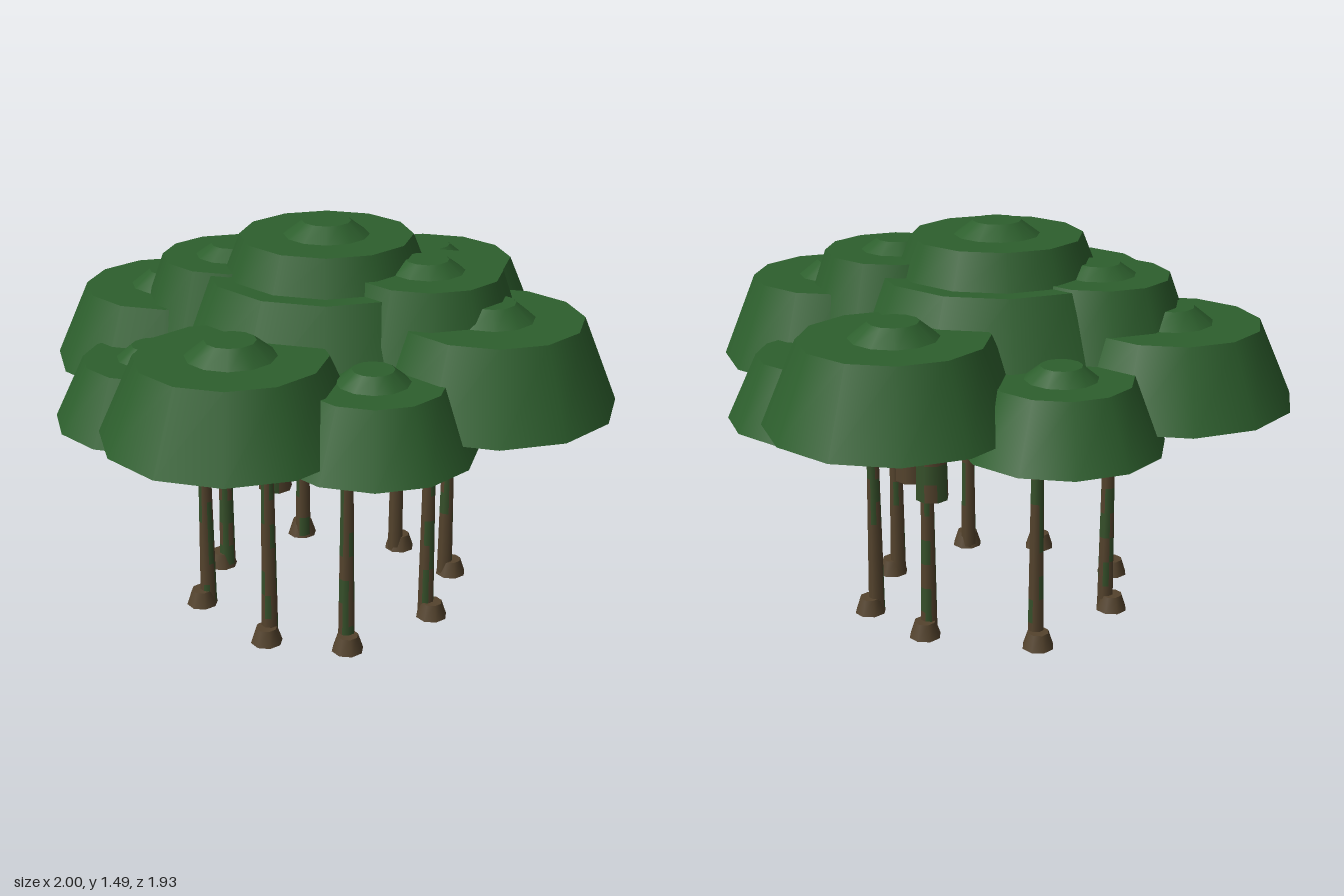
import * as THREE from 'three';

const SIDES = 12;

const mat = (name, color) => {
  const m = new THREE.MeshStandardMaterial({ color });
  m.name = name;
  return m;
};

export function createModel() {
  const root = new THREE.Group();
  root.name = 'mushroomTree';
  const leaf = mat('leaf green', 0x2d5f2d);
  const bark = mat('bark brown', 0x54432d);
  const moss = mat('moss green', 0x36502a);

  // Small seeded generator for the moss patches
  let seed = 7;
  const rand = () => (seed = (seed * 16807) % 2147483647) / 2147483647;

  const add = (parent, name, geometry, material, x, y, z) => {
    const mesh = new THREE.Mesh(geometry, material);
    mesh.name = name;
    mesh.position.set(x, y, z);
    parent.add(mesh);
    return mesh;
  };

  // Frustum standing from y0 to y1
  const frustum = (parent, name, x, z, y0, y1, r0, r1, material) => {
    const g = new THREE.CylinderGeometry(r1, r0, y1 - y0, SIDES);
    g.rotateY(Math.PI / SIDES);
    return add(parent, name, g, material, x, (y0 + y1) / 2, z);
  };

  // Bark column with scattered mossy faces
  const column = (parent, name, x, z, y0, y1, r0, r1) => {
    const rows = 8, sides = 8;
    const g = new THREE.CylinderGeometry(r1, r0, y1 - y0, sides, rows);
    const body = sides * rows * 6;
    g.clearGroups();
    for (let i = 0; i < body; i += 6) g.addGroup(i, 6, rand() < 0.35 ? 1 : 0);
    g.addGroup(body, g.index.count - body, 0);
    return add(parent, name, g, [bark, moss], x, (y0 + y1) / 2, z);
  };

  // Canopy: a wide flaring dome with a small knob on top
  const canopy = (name, x, z, y0, y1, r0, r1, capR, capH) => {
    const group = new THREE.Group();
    group.name = name;
    root.add(group);
    frustum(group, 'dome', x, z, y0, y1, r0, r1, leaf);
    frustum(group, 'knob', x, z, y1 - 0.01, y1 + capH, capR, capR * 0.52, leaf);
    return group;
  };

  // Central crown in two tiers
  const crown = canopy('centralCanopy', 0, 0, 1.29, 1.44, 0.375, 0.315, 0.17, 0.05);
  frustum(crown, 'lowerTier', 0, 0, 0.95, 1.31, 0.6, 0.44, leaf);

  // Upper side canopies
  canopy('upperCanopyBack', -0.3, -0.235, 1.06, 1.32, 0.355, 0.26, 0.15, 0.04);
  canopy('upperCanopyFront', 0.3, 0.25, 1.09, 1.355, 0.36, 0.27, 0.15, 0.04);

  // Large corner canopies: x, z, bottom, top
  [
    [0.47, 0.445, 0.925, 1.23],
    [0.51, -0.375, 0.91, 1.205],
    [-0.45, 0.46, 0.905, 1.18],
    [-0.5, -0.41, 0.89, 1.17],
  ].forEach(([x, z, y0, y1]) => canopy('cornerCanopy', x, z, y0, y1, 0.455, 0.33, 0.17, 0.055));

  // Small outer canopies
  [
    [0.65, 0, 0.825, 1.06],
    [-0.65, 0, 0.8, 1.03],
    [0, 0.615, 0.86, 1.1],
    [0, -0.615, 0.845, 1.075],
  ].forEach(([x, z, y0, y1]) => canopy('outerCanopy', x, z, y0, y1, 0.36, 0.25, 0.14, 0.045));

  // Thick hanging stems: x, z, bottom, radius
  [
    [0, 0, 0.67, 0.092],
    [0.28, 0.25, 0.575, 0.092],
    [-0.29, -0.22, 0.58, 0.092],
    [0.335, -0.225, 0.54, 0.062],
    [-0.25, 0.215, 0.56, 0.062],
    [-0.33, 0, 0.52, 0.068],
    [0.335, 0, 0.53, 0.068],
  ].forEach(([x, z, y0, r]) => column(root, 'hangingStem', x, z, y0, 1.1, r, r * 0.78));

  // Slender ground roots with flared feet: x, z, top
  [
    [0.485, 0.02, 0.73],
    [-0.475, 0.01, 0.7],
    [-0.045, 0.46, 0.76],
    [0.015, -0.445, 0.745],
    [0.31, 0.31, 0.81],
    [-0.305, 0.335, 0.77],
    [0.355, -0.23, 0.77],
    [-0.345, -0.265, 0.8],
  ].forEach(([x, z, top]) => {
    const group = new THREE.Group();
    group.name = 'groundRoot';
    root.add(group);
    column(group, 'rootShaft', x, z, 0, top, 0.032, 0.022);
    const k = 1 + 0.025 / Math.hypot(x, z);
    const foot = new THREE.CylinderGeometry(0.04, 0.06, 0.06, 8);
    add(group, 'rootFoot', foot, bark, x * k, 0.03, z * k);
  });

  return root;
}
